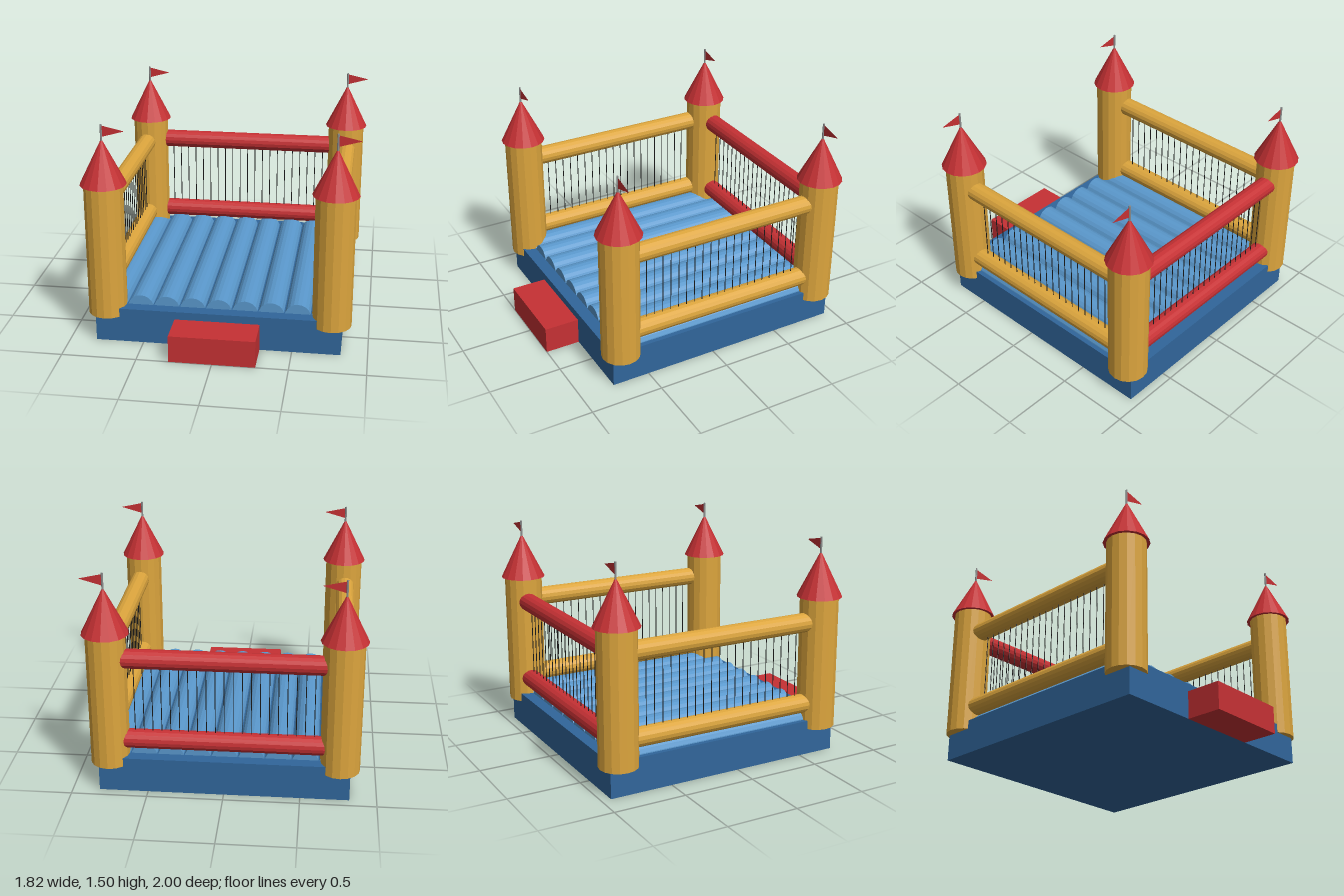
import * as THREE from 'three';

const mat = (name, color, extra = {}) => {
  const m = new THREE.MeshStandardMaterial({ color, flatShading: true, ...extra });
  m.name = name;
  return m;
};

export function createModel() {
  const yellow = mat('yellow vinyl', 0xdca53d);
  const red = mat('red vinyl', 0xc63134, { side: THREE.DoubleSide });
  const darkBlue = mat('dark blue base', 0x31669b);
  const lightBlue = mat('light blue floor', 0x5a98cc);
  const grey = mat('grey pole', 0x8c8c8c);
  const black = mat('black net', 0x1a1a1a);

  const root = new THREE.Group();
  root.name = 'bouncyCastle';
  const add = (parent, name, geometry, material, x, y, z) => {
    const mesh = new THREE.Mesh(geometry, material);
    mesh.name = name;
    mesh.position.set(x, y, z);
    parent.add(mesh);
    return mesh;
  };

  const frontZ = 0.67, backZ = -0.846, towerX = 0.755;
  const midZ = (frontZ + backZ) / 2;

  // Base and entrance step
  add(root, 'base', new THREE.BoxGeometry(1.645, 0.24, 1.695), darkBlue, 0, 0.12, -0.088);
  add(root, 'entranceStep', new THREE.BoxGeometry(0.57, 0.186, 0.242), red, 0, 0.093, 0.879);

  // Ribbed floor: parallel tubes half sunk into the base
  const tube = new THREE.CylinderGeometry(0.088, 0.088, 1.53, 20).rotateX(Math.PI / 2);
  for (let i = -4; i <= 4; i++) add(root, 'floorTube', tube, lightBlue, i * 0.1765, 0.219, -0.09);

  // Corner towers with cone roof, pole and pennant
  const body = new THREE.CylinderGeometry(0.131, 0.131, 0.915, 16);
  const roof = new THREE.ConeGeometry(0.153, 0.308, 16);
  const pole = new THREE.CylinderGeometry(0.007, 0.007, 0.12, 8);
  const pennant = new THREE.ShapeGeometry(new THREE.Shape([
    new THREE.Vector2(0, -0.04), new THREE.Vector2(0.152, 0.003), new THREE.Vector2(0, 0.037),
  ]));
  for (const x of [-towerX, towerX]) {
    for (const z of [frontZ, backZ]) {
      const tower = new THREE.Group();
      tower.name = 'cornerTower';
      tower.position.set(x, 0, z);
      add(tower, 'towerBody', body, yellow, 0, 0.6375, 0);
      add(tower, 'towerRoof', roof, red, 0, 1.246, 0);
      add(tower, 'flagPole', pole, grey, 0, 1.435, 0);
      add(tower, 'pennant', pennant, red, 0, 1.45, 0);
      root.add(tower);
    }
  }

  // Walls: two inflated rails joined by thin net cords
  const railY = [0.354, 0.926];
  const cord = new THREE.CylinderGeometry(0.003, 0.003, railY[1] - railY[0], 6);
  const cordY = (railY[0] + railY[1]) / 2;

  const backRail = new THREE.CylinderGeometry(0.064, 0.064, 2 * towerX - 0.1, 16).rotateZ(Math.PI / 2);
  for (const y of railY) add(root, 'backRail', backRail, red, 0, y, -0.86);
  for (let i = -10; i <= 10; i++) add(root, 'backNetCord', cord, black, i * 0.0582, cordY, -0.86);

  const sideRail = new THREE.CylinderGeometry(0.065, 0.065, frontZ - backZ - 0.1, 16).rotateX(Math.PI / 2);
  for (const x of [-0.766, 0.766]) {
    for (const y of railY) add(root, 'sideRail', sideRail, yellow, x, y, midZ);
    for (let i = 0; i < 20; i++) add(root, 'sideNetCord', cord, black, x, cordY, 0.482 - i * 0.0597);
  }
  return root;
}
